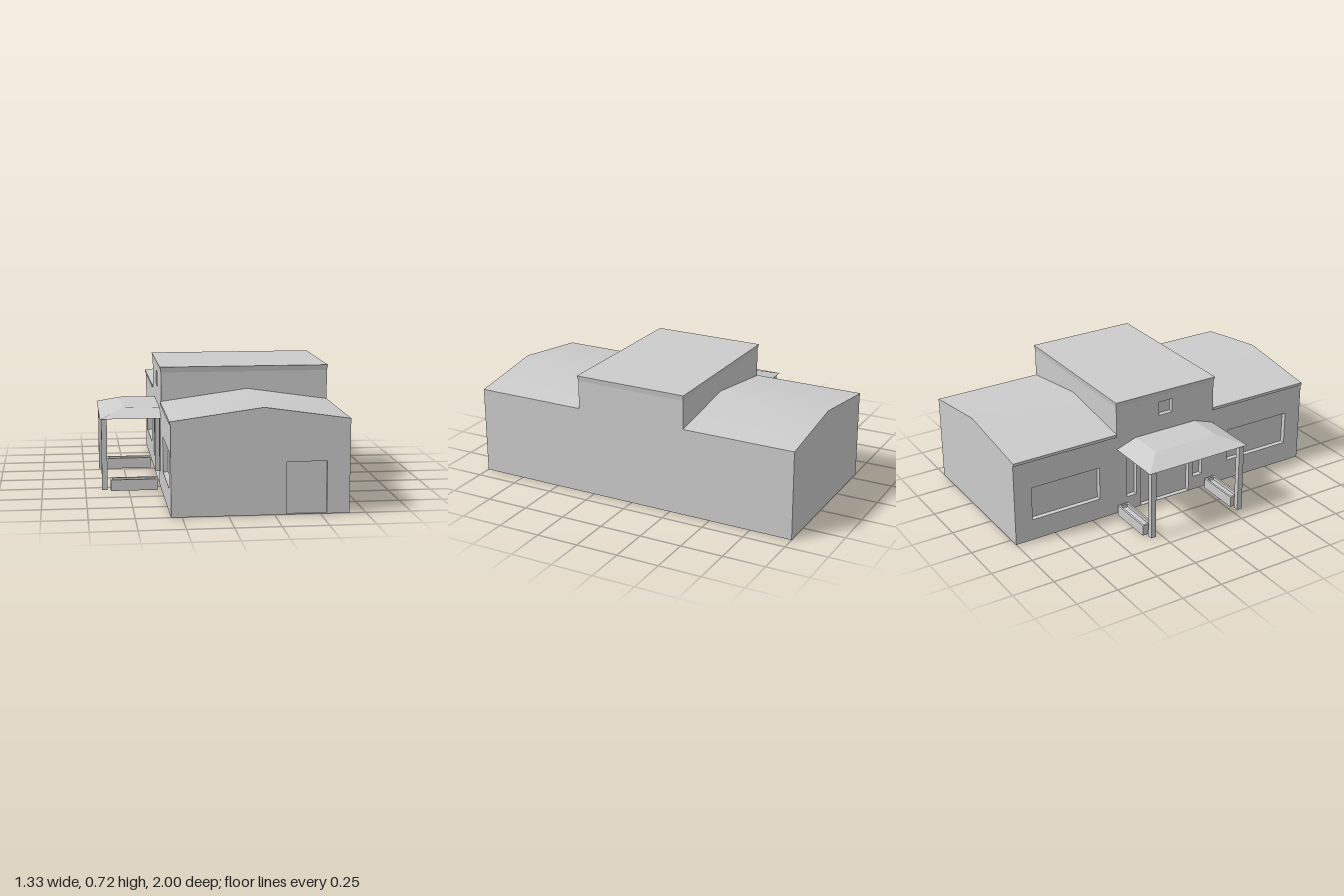
import * as THREE from 'three';

const material = new THREE.MeshStandardMaterial({ color: 0xcccccc, side: THREE.DoubleSide });

// Main dimensions
const X0 = -0.31, X1 = 0.66, RIDGE_X = 0.19, EAVE = 0.52, RIDGE = 0.588;
const HALF_LENGTH = 1, HALF_HALL = 0.335, HALL = 0.688, TOP = 0.72;

function mesh(name, geometry) {
  const m = new THREE.Mesh(geometry, material);
  m.name = name;
  return m;
}

// Box between two corners; its top may have another outline, and one face may be left out
// (faces in order: +x, -x, +y, -y, +z, -z)
function block(name, [x0, x1], [y0, y1], [z0, z1], top, openFace = -1) {
  const g = new THREE.BoxGeometry(1, 1, 1);
  const p = g.attributes.position;
  const [tx0, tx1, tz0, tz1] = top ?? [x0, x1, z0, z1];
  for (let i = 0; i < p.count; i++) {
    const up = p.getY(i) > 0, right = p.getX(i) > 0, front = p.getZ(i) > 0;
    p.setXYZ(i,
      up ? (right ? tx1 : tx0) : (right ? x1 : x0),
      up ? y1 : y0,
      up ? (front ? tz1 : tz0) : (front ? z1 : z0));
  }
  if (openFace >= 0) {
    g.setIndex([...g.index.array].filter((_, i) => Math.floor(i / 6) !== openFace));
  }
  g.clearGroups();
  g.computeVertexNormals();
  return mesh(name, g);
}

// Flat wall facing local +z, with openings that are recessed inwards
function wall(name, points, openings = []) {
  const group = new THREE.Group();
  group.name = name;
  const shape = new THREE.Shape(points.map(([u, y]) => new THREE.Vector2(u, y)));
  for (const o of openings) {
    const [u0, u1] = o.u, [y0, y1] = o.y;
    shape.holes.push(new THREE.Path([
      new THREE.Vector2(u0, y0), new THREE.Vector2(u0, y1),
      new THREE.Vector2(u1, y1), new THREE.Vector2(u1, y0),
    ]));
    group.add(block(o.name, o.u, o.y, [-o.depth, 0], null, 4));
  }
  group.add(mesh(name + 'Surface', new THREE.ShapeGeometry(shape)));
  return group;
}

// Low gable roof over one wing, softly shaded across the ridge
function wingRoof(z0, z1) {
  const g = new THREE.PlaneGeometry(1, 1, 2, 1).rotateX(-Math.PI / 2);
  const p = g.attributes.position;
  for (let i = 0; i < p.count; i++) {
    const x = p.getX(i);
    p.setXYZ(i,
      x < -0.1 ? X0 : x > 0.1 ? X1 : RIDGE_X,
      Math.abs(x) < 0.1 ? RIDGE : EAVE,
      p.getZ(i) < 0 ? z0 : z1);
  }
  g.computeVertexNormals();
  return mesh('wingRoof', g);
}

export function createModel() {
  const model = new THREE.Group();
  model.name = 'building';

  // Long side walls, with the taller hall in the middle
  const sideOutline = [
    [-HALF_LENGTH, 0], [HALF_LENGTH, 0], [HALF_LENGTH, EAVE], [HALF_HALL, EAVE],
    [HALF_HALL, HALL], [-HALF_HALL, HALL], [-HALF_HALL, EAVE], [-HALF_LENGTH, EAVE],
  ];
  const openings = [
    { name: 'entranceDoor', u: [-0.17, 0.17], y: [0.002, 0.4], depth: 0.03 },
    { name: 'upperWindow', u: [-0.045, 0.045], y: [0.565, 0.65], depth: 0.03 },
  ];
  for (const s of [-1, 1]) {
    const span = (a, b) => [s * a, s * b].sort((p, q) => p - q);
    openings.push({ name: 'wingWindow', u: span(0.45, 0.89), y: [0.13, 0.335], depth: 0.03 });
    openings.push({ name: 'entranceSideWindow', u: span(0.2, 0.265), y: [0.09, 0.4], depth: 0.03 });
  }
  const entranceWall = wall('entranceWall', sideOutline, openings);
  entranceWall.rotation.y = -Math.PI / 2;
  entranceWall.position.x = X0;
  const plainWall = wall('plainSideWall', sideOutline);
  plainWall.rotation.y = Math.PI / 2;
  plainWall.position.x = X1;
  model.add(entranceWall, plainWall);

  // Gable end walls
  const gable = [[X0, 0], [X1, 0], [X1, EAVE], [RIDGE_X, RIDGE], [X0, EAVE]];
  const frontWall = wall('frontWall', gable, [
    { name: 'frontDoor', u: [0.315, 0.535], y: [0.002, 0.29], depth: 0.015 },
  ]);
  frontWall.position.z = HALF_LENGTH;
  const backWall = wall('backWall', gable.map(([x, y]) => [-x, y]));
  backWall.rotation.y = Math.PI;
  backWall.position.z = -HALF_LENGTH;
  model.add(frontWall, backWall);

  // Hall walls rising above the wing roofs
  const step = [[X0, EAVE], [RIDGE_X, RIDGE], [X1, EAVE], [X1, HALL], [X0, HALL]];
  const frontStep = wall('hallFrontWall', step);
  frontStep.position.z = HALF_HALL;
  const backStep = wall('hallBackWall', step.map(([x, y]) => [-x, y]));
  backStep.rotation.y = Math.PI;
  backStep.position.z = -HALF_HALL;
  model.add(frontStep, backStep);

  // Flat hall roof with a flared edge
  model.add(block('hallRoof', [X0, X1], [HALL, TOP], [-HALF_HALL, HALF_HALL],
    [X0 - 0.007, X1 + 0.005, -HALF_HALL - 0.005, HALF_HALL + 0.005], 3));

  // Porch roof with hipped corners
  model.add(block('porchRoof', [-0.663, X0], [0.421, 0.465], [-0.333, 0.333],
    [-0.525, X0, -0.205, 0.205]));

  for (const s of [-1, 1]) {
    const span = (a, b) => [s * a, s * b].sort((p, q) => p - q);

    // Wing roof and gutter
    const wing = span(HALF_HALL, HALF_LENGTH);
    model.add(wingRoof(...wing));
    model.add(block('gutter', [X0 - 0.007, X0], [0.503, EAVE], wing));

    // Porch post
    model.add(block('porchPost', [-0.655, -0.623], [0, 0.421], span(0.285, 0.317)));

    // Planter trough: four sides and a sunken bed
    const planter = new THREE.Group();
    planter.name = 'planter';
    const h = [0, 0.065], t = 0.012;
    planter.add(
      block('planterOuterSide', [-0.605, -0.333], h, span(0.342 - t, 0.342)),
      block('planterInnerSide', [-0.605, -0.333], h, span(0.272, 0.272 + t)),
      block('planterEnd', [-0.605, -0.605 + t], h, span(0.272 + t, 0.342 - t)),
      block('planterEnd', [-0.333 - t, -0.333], h, span(0.272 + t, 0.342 - t)),
      block('planterBed', [-0.605 + t, -0.333 - t], [0, 0.045], span(0.272 + t, 0.342 - t)),
    );
    model.add(planter);
  }
  return model;
}
